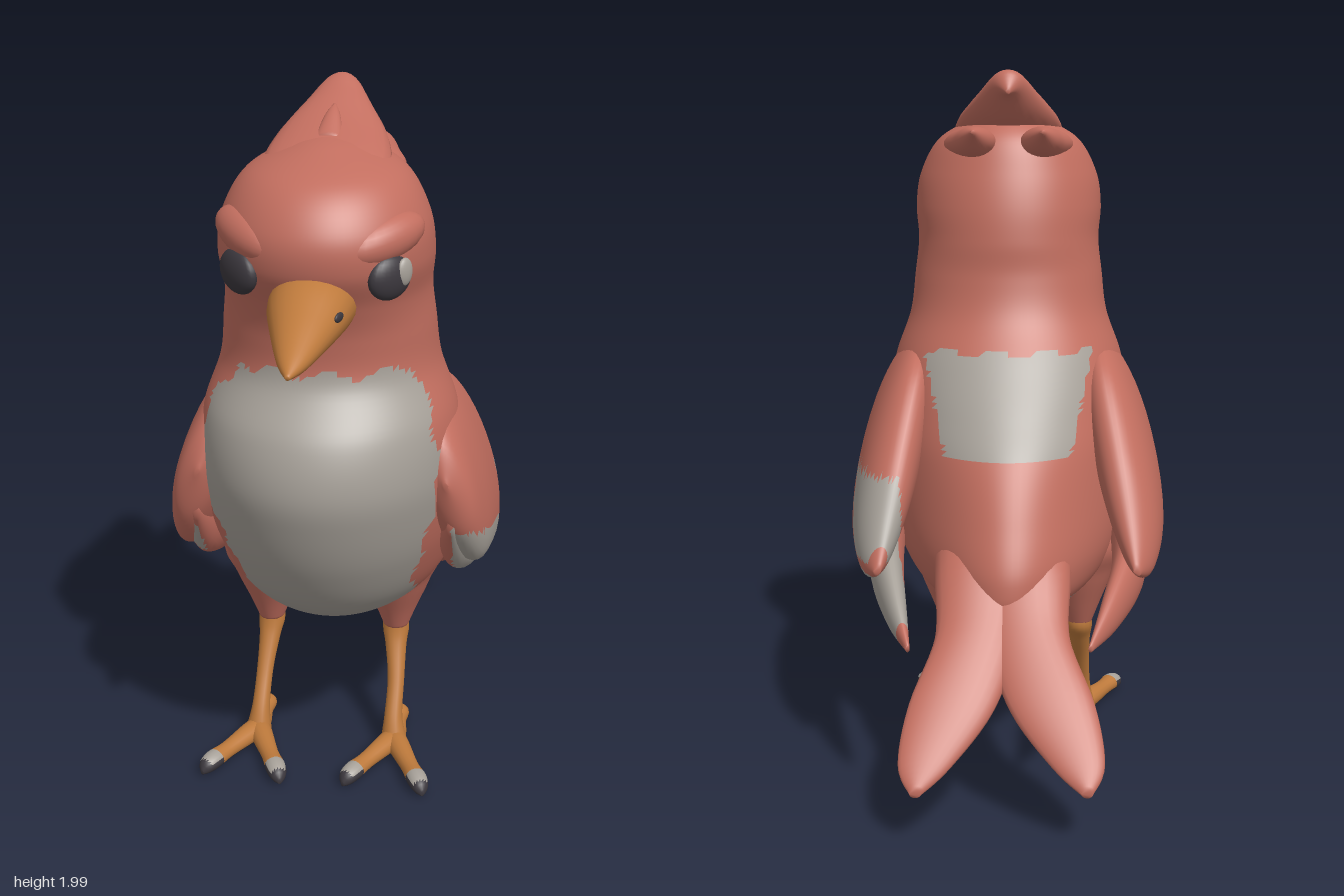
import * as THREE from 'three';

const mat = (name, color) => Object.assign(new THREE.MeshStandardMaterial({ color }), { name });

// uniform Catmull-Rom through rows of numbers
function sample(rows, t) {
  const n = rows.length - 1, i = Math.min(Math.floor(t * n), n - 1), f = t * n - i;
  const p = k => rows[Math.max(0, Math.min(n, k))];
  return rows[i].map((_, c) => {
    const a = p(i - 1)[c], b = p(i)[c], d = p(i + 1)[c], e = p(i + 2)[c];
    return b + 0.5 * f * (d - a + f * (2 * a - 5 * b + 4 * d - e + f * (3 * (b - d) + e - a)));
  });
}

// Smooth closed form from elliptical sections, listed in increasing order.
// axis 'y': [y, centreX, centreZ, radiusX, radiusZ]; axis 'z': [z, centreX, centreY, radiusX, radiusY]
// rule(x, y, z) picks the material index of each face; warp adjusts x within a section.
function loft(name, axis, rows, materials, rule = () => 0, segs = 24, steps = 6, warp = dx => dx) {
  const pos = [], rings = (rows.length - 1) * steps;
  for (let i = 0; i <= rings; i++) {
    const [u, c1, c2, r1, r2] = sample(rows, i / rings);
    for (let j = 0; j < segs; j++) {
      const a = (j / segs) * Math.PI * 2;
      const p = c1 + warp(Math.max(r1, 0.001) * Math.cos(a), Math.sin(a), r2, u);
      const q = Math.max(r2, 0.001) * Math.sin(a);
      if (axis === 'y') pos.push(p, u, c2 - q);
      else pos.push(p, c2 + q, u);
    }
  }
  const buckets = materials.map(() => []);
  const add = (...t) => {
    const m = k => t.reduce((s, v) => s + pos[v * 3 + k], 0) / 3;
    buckets[rule(m(0), m(1), m(2))].push(...t);
  };
  for (let i = 0; i < rings; i++) for (let j = 0; j < segs; j++) {
    const k = (j + 1) % segs, a = i * segs + j, b = i * segs + k;
    add(a, b, b + segs);
    add(a, b + segs, a + segs);
  }
  // end caps
  const last = rings * segs;
  for (let j = 1; j < segs - 1; j++) {
    add(0, j + 1, j);
    add(last, last + j, last + j + 1);
  }
  const g = new THREE.BufferGeometry();
  g.setAttribute('position', new THREE.Float32BufferAttribute(pos, 3));
  g.setIndex(buckets.flat());
  let start = 0;
  buckets.forEach((b, i) => { g.addGroup(start, b.length, i); start += b.length; });
  g.computeVertexNormals();
  const mesh = new THREE.Mesh(g, materials);
  mesh.name = name;
  return mesh;
}

export function createModel() {
  const red = mat('red plumage', 0xc26e5f), pale = mat('pale plumage', 0xa7a199);
  const orange = mat('orange beak and legs', 0xbe7a3c), dark = mat('dark eyes and claws', 0x3c383e);
  const feathers = [red, pale];
  const bird = new THREE.Group();
  bird.name = 'bird';

  const ellipsoid = (name, m, p, s, rotY = 0, rotZ = 0) => {
    const e = new THREE.Mesh(new THREE.SphereGeometry(1, 24, 16), m);
    e.name = name;
    e.position.set(...p);
    e.scale.set(...s);
    e.rotation.set(0, rotY, rotZ, 'YXZ');
    bird.add(e);
  };

  // body and head: [y, front, back, half width]
  const profile = [
    [0.455, 0.16, -0.18, 0.06], [0.5, 0.34, -0.4, 0.22], [0.6, 0.5, -0.43, 0.31],
    [0.75, 0.61, -0.37, 0.355], [0.9, 0.675, -0.29, 0.37], [1.02, 0.7, -0.2, 0.365],
    [1.15, 0.67, -0.1, 0.345], [1.28, 0.585, -0.01, 0.3], [1.4, 0.585, 0.025, 0.285],
    [1.5, 0.62, 0.03, 0.275], [1.6, 0.67, 0.045, 0.283], [1.7, 0.665, 0.075, 0.268],
    [1.8, 0.585, 0.12, 0.21], [1.86, 0.43, 0.19, 0.1], [1.88, 0.34, 0.24, 0.035],
  ];
  const bodyRows = profile.map(([y, f, b, w]) => [y, 0, (f + b) / 2, w, (f - b) / 2]);
  const bodyColour = (x, y, z) => {
    const edge = 0.02 * Math.sin(y * 40) + 0.02 * Math.sin(x * 45);
    const belly = y < 1.3 + edge && z > 0.46 - 0.9 * Math.max(0, 0.72 - y) + edge;
    const under = y < 0.515;
    const backPatch = z < 0.12 && y > 0.92 && y < 1.2 + edge && Math.abs(x) < 0.18 + (y - 0.92) * 0.25;
    return belly || under || backPatch ? 1 : 0;
  };
  // the body narrows towards the tail
  const taper = (dx, sin, r, y) => dx * (1 - 0.28 * THREE.MathUtils.smoothstep(1.25 - y, 0, 0.5) * Math.max(0, sin));
  bird.add(loft('body', 'y', bodyRows, feathers, bodyColour, 96, 8, taper));

  // beak
  bird.add(loft('beak', 'z', [
    [0.55, 0, 1.508, 0.112, 0.088], [0.66, 0, 1.512, 0.105, 0.086], [0.78, 0, 1.49, 0.075, 0.06],
    [0.9, 0, 1.463, 0.037, 0.029], [0.965, 0, 1.45, 0.006, 0.006],
  ], [orange]));
  ellipsoid('nostril', dark, [0.087, 1.528, 0.74], [0.006, 0.012, 0.022], -0.3);

  // crest
  bird.add(loft('crestPlume', 'z', [
    [0.035, 0, 1.935, 0.006, 0.008], [0.075, 0, 1.955, 0.045, 0.042], [0.15, 0, 1.905, 0.095, 0.062],
    [0.26, 0, 1.85, 0.15, 0.062], [0.4, 0, 1.8, 0.165, 0.058], [0.53, 0, 1.75, 0.1, 0.045],
  ], [red]));
  bird.add(loft('crestTuft', 'z', [
    [0.22, 0, 1.935, 0.005, 0.005], [0.26, 0, 1.91, 0.022, 0.018], [0.34, 0, 1.86, 0.04, 0.025],
  ], [red]));

  for (const s of [1, -1]) {
    const side = s > 0 ? 'left' : 'right';
    bird.add(loft(side + 'CrestFeather', 'z', [
      [-0.015, s * 0.1, 1.82, 0.005, 0.006], [0.05, s * 0.1, 1.8, 0.042, 0.035],
      [0.13, s * 0.1, 1.79, 0.065, 0.045], [0.24, s * 0.115, 1.78, 0.08, 0.045],
      [0.4, s * 0.13, 1.755, 0.06, 0.04], [0.5, s * 0.12, 1.73, 0.02, 0.02],
    ], [red]));

    // eyes and brows
    ellipsoid(side + 'Eye', dark, [s * 0.19, 1.585, 0.582], [s > 0 ? 0.066 : 0.076, 0.058, 0.03], s * 0.82);
    ellipsoid(side + 'Brow', red, [s * 0.168, 1.672, 0.545], [0.13, 0.06, 0.062], s * 0.82, s * 0.2);

    // wings: upper coverts leaning in over a long lower feather, pale on the outside
    const lean = (dx, sin, r) => dx - s * 0.26 * r * sin;
    const outer = (x, z) => s * x > 0.35 + 0.2 * Math.min(0, z);
    bird.add(loft(side + 'WingCoverts', 'z', [
      [-0.35, s * 0.36, 0.625, 0.01, 0.012], [-0.28, s * 0.362, 0.675, 0.045, 0.085],
      [-0.17, s * 0.355, 0.77, 0.075, 0.17], [0, s * 0.345, 0.87, 0.092, 0.265],
      [0.2, s * 0.338, 0.93, 0.096, 0.275], [0.35, s * 0.338, 0.95, 0.085, 0.24],
      [0.45, s * 0.338, 0.97, 0.06, 0.14], [0.49, s * 0.335, 0.99, 0.006, 0.01],
    ], feathers, (x, y, z) => {
      if (s < 0 || !outer(x, z)) return 0;
      const upperPatch = z < -0.26 + 1.1 * (y - 0.6) && z > -0.32 && y < 0.86 && y > 0.64;
      return upperPatch || y < 0.7 + 0.3 * z ? 1 : 0;
    }, 40, 8, lean));
    bird.add(loft(side + 'WingFeather', 'z', [
      [-0.54, s * 0.245 + 0.02, 0.465, 0.006, 0.01], [-0.4, s * 0.295 + 0.01, 0.52, 0.03, 0.055],
      [-0.2, s * 0.345, 0.585, 0.048, 0.09], [0, s * 0.36, 0.645, 0.055, 0.1],
      [0.2, s * 0.365, 0.705, 0.055, 0.095], [0.35, s * 0.355, 0.775, 0.045, 0.085],
      [0.46, s * 0.35, 0.86, 0.01, 0.02],
    ], feathers, (x, y, z) => (outer(x, z) && (s > 0 ? z > -0.49 : z > 0.34 && y < 0.8) ? 1 : 0)));

    // forked tail
    const tx = x => s * x + 0.012;
    bird.add(loft(side + 'TailFeather', 'z', [
      [-0.765, tx(0.222), 0.15, 0.015, 0.012], [-0.71, tx(0.2), 0.205, 0.07, 0.03],
      [-0.6, tx(0.135), 0.32, 0.115, 0.05], [-0.46, tx(0.07), 0.46, 0.115, 0.07],
      [-0.32, tx(0.06), 0.59, 0.13, 0.1], [-0.15, tx(0.06), 0.66, 0.14, 0.1],
    ], feathers, (x, y, z) => (z > -0.5 && s * x < 0.12 && y < 0.87 * z + 0.835 ? 1 : 0)));

    // thigh and shank
    const lx = s * 0.19 - 0.025, footX = s * 0.207 - 0.028;
    bird.add(loft(side + 'Thigh', 'y', [
      [0.35, lx, 0.08, 0.038, 0.042], [0.42, lx, 0.08, 0.065, 0.075],
      [0.52, lx, 0.085, 0.105, 0.125], [0.63, lx, 0.095, 0.135, 0.17], [0.82, lx, 0.11, 0.06, 0.08],
    ], [red]));
    bird.add(loft(side + 'Shank', 'y', [
      [0.025, footX, 0.225, 0.04, 0.04], [0.1, footX - s * 0.005, 0.205, 0.027, 0.03],
      [0.2, lx + s * 0.01, 0.155, 0.025, 0.028], [0.29, lx + s * 0.003, 0.105, 0.032, 0.036],
      [0.34, lx, 0.08, 0.04, 0.044], [0.4, lx, 0.08, 0.034, 0.036],
    ], [orange], undefined, 16));

    // foot: two front toes with claws and one back toe, dark soles
    const foot = new THREE.Group();
    foot.name = side + 'Foot';
    foot.position.set(footX, 0, 0.225);
    [[0.41, 0.28, true], [-0.47, 0.27, true], [Math.PI, 0.18, false]].forEach(([turn, len, claw]) => {
      const toe = loft('toe', 'z', [
        [-0.03, 0, 0.034, 0.02, 0.02], [0.02, 0, 0.036, 0.034, 0.03], [len * 0.55, 0, 0.034, 0.026, 0.024],
        [len * 0.8, 0, 0.035, 0.03, 0.026], [len * 0.94, 0, 0.03, 0.022, 0.021], [len, 0, 0.02, 0.005, 0.008],
      ], [orange, dark, pale], (x, y, z) => {
        if (claw && z > len * 0.74) return y > 0.042 && z < len * 0.93 ? 2 : 1;
        return y < 0.024 ? 1 : 0;
      }, 16, 4);
      toe.rotation.y = turn;
      foot.add(toe);
    });
    bird.add(foot);
  }

  // glint on the left eye
  ellipsoid('eyeGlint', pale, [0.226, 1.598, 0.572], [0.026, 0.036, 0.013], 0.95);

  // the bird stands turned towards its left
  bird.rotation.y = THREE.MathUtils.degToRad(35);
  bird.position.set(0.016, 0, -0.011);
  const model = new THREE.Group();
  model.name = 'birdModel';
  model.add(bird);
  return model;
}
